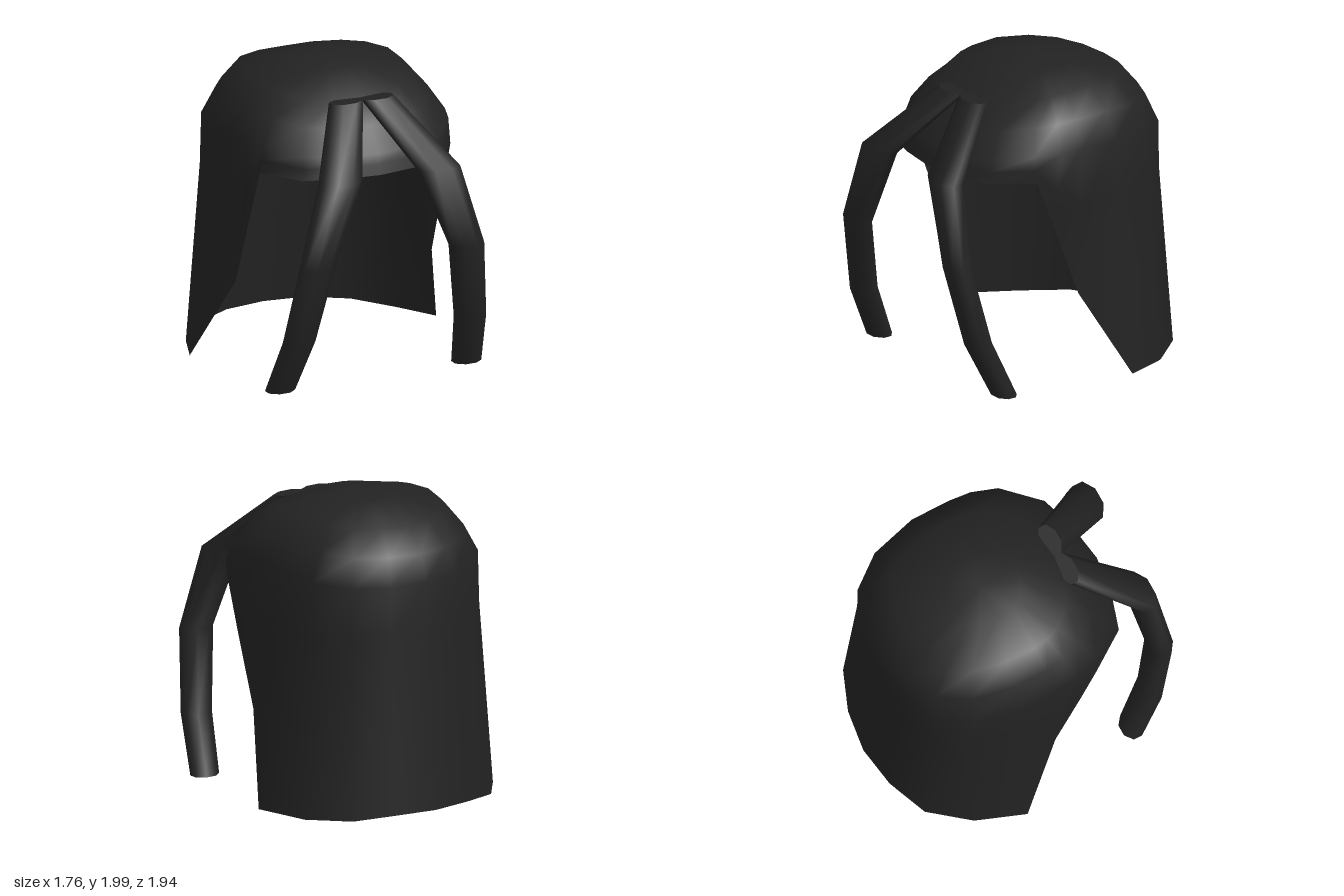
import * as THREE from 'three';

const hairBlack = new THREE.MeshStandardMaterial({ color: 0x222222, side: THREE.DoubleSide });
hairBlack.name = 'hair black';

// Skins a stack of closed rings (bottom to top), optionally closing each end on a point
function loft(rings, topPoint, bottomPoint) {
  const n = rings[0].length, pos = rings.flat(2), idx = [];
  for (let r = 0; r < rings.length - 1; r++) {
    for (let i = 0; i < n; i++) {
      const j = (i + 1) % n, a = r * n + i, b = r * n + j;
      idx.push(a, b, b + n, a, b + n, a + n);
    }
  }
  const cap = (point, start, up) => {
    const first = pos.length / 3;
    // the cap of a tube gets its own corners so that its edge stays sharp
    let base = start;
    if (bottomPoint) {
      base = first;
      pos.push(...pos.slice(start * 3, (start + n) * 3));
    }
    const tip = pos.length / 3;
    pos.push(...point);
    for (let i = 0; i < n; i++) {
      const a = base + i, b = base + (i + 1) % n;
      idx.push(...(up ? [a, b, tip] : [b, a, tip]));
    }
  };
  cap(topPoint, (rings.length - 1) * n, true);
  if (bottomPoint) cap(bottomPoint, 0, false);
  const g = new THREE.BufferGeometry();
  g.setAttribute('position', new THREE.Float32BufferAttribute(pos, 3));
  g.setIndex(idx);
  g.computeVertexNormals();
  return g;
}

const mix = (a, b, t) => a.map((v, k) => v + (b[k] - v) * t);
// Half ring, front centre to back centre, mirrored into a whole one
const mirrorRing = half => [...half, ...half.slice(1, -1).reverse().map(([x, y, z]) => [-x, y, z])];

// Outer shell: fringe in front, face opening at the sides, long back
function capOfHair() {
  const rim = [
    [0, 1.42, 0.73], [0.28, 1.42, 0.69], [0.5, 1.42, 0.62], [0.68, 1.42, 0.36], [0.69, 1.1, 0.24], [0.70, 0.6, 0.05],
    [0.88, 0.03, -0.25], [0.75, 0.01, -0.57], [0.55, 0.02, -0.82], [0.28, 0.04, -0.93], [0, 0.04, -0.97],
  ];
  const shoulder = [
    [0, 1.55, 0.69], [0.27, 1.55, 0.65], [0.48, 1.56, 0.57], [0.66, 1.6, 0.37], [0.72, 1.6, 0.2], [0.735, 1.6, 0.05],
    [0.735, 1.6, -0.22], [0.66, 1.56, -0.53], [0.5, 1.54, -0.74], [0.26, 1.53, -0.84], [0, 1.53, -0.87],
  ];
  const upper = [
    [0, 1.85, 0.42], [0.17, 1.85, 0.4], [0.33, 1.86, 0.33], [0.45, 1.88, 0.2], [0.49, 1.9, 0.1], [0.51, 1.91, 0],
    [0.51, 1.92, -0.2], [0.46, 1.9, -0.42], [0.36, 1.88, -0.57], [0.19, 1.87, -0.65], [0, 1.86, -0.68],
  ];
  // The back hangs straight for a while below the shoulder, then flares
  const flare = rim.map((p, i) => {
    if (i < 5) return mix(p, shoulder[i], 0.5);
    const [x, , z] = shoulder[i];
    return [x * 1.015, 1.22, z];
  });
  const round = shoulder.map((p, i) => {
    const [x, y, z] = mix(p, upper[i], 0.5);
    return [x * 1.02, y + 0.01, z * 1.04];
  });
  const crown = upper.map(([x, , z]) => [x * 0.45, 1.965, -0.08 + (z + 0.08) * 0.45]);
  return loft([rim, flare, shoulder, round, upper, crown].map(mirrorRing), [0, 1.995, -0.12]);
}

// One long strand in front of the face; stations are x, y, z, half width, half depth
function strand(side) {
  const stations = [
    [0.665, 0.03, 0.62, 0.093, 0.072], [0.61, 0.4, 0.785, 0.1, 0.08], [0.53, 0.93, 0.895, 0.112, 0.078],
    [0.35, 1.46, 0.853, 0.14, 0.086], [0.11, 1.85, 0.45, 0.11, 0.06],
  ];
  const rings = stations.map(([x, y, z, w, d]) => Array.from({ length: 8 }, (_, i) => {
    const a = (i + 0.5) * Math.PI / 4;
    return [side * x + w * 1.08 * Math.sin(a), y, z + d * 1.08 * Math.cos(a)];
  }));
  const end = s => [side * s[0], s[1], s[2]];
  return loft(rings, end(stations.at(-1)), end(stations[0]));
}

export function createModel() {
  const hair = new THREE.Group();
  hair.name = 'hair';
  const add = (name, geometry) => {
    const mesh = new THREE.Mesh(geometry, hairBlack);
    mesh.name = name;
    hair.add(mesh);
  };
  add('capOfHair', capOfHair());
  add('leftStrand', strand(1));
  add('rightStrand', strand(-1));
  return hair;
}
